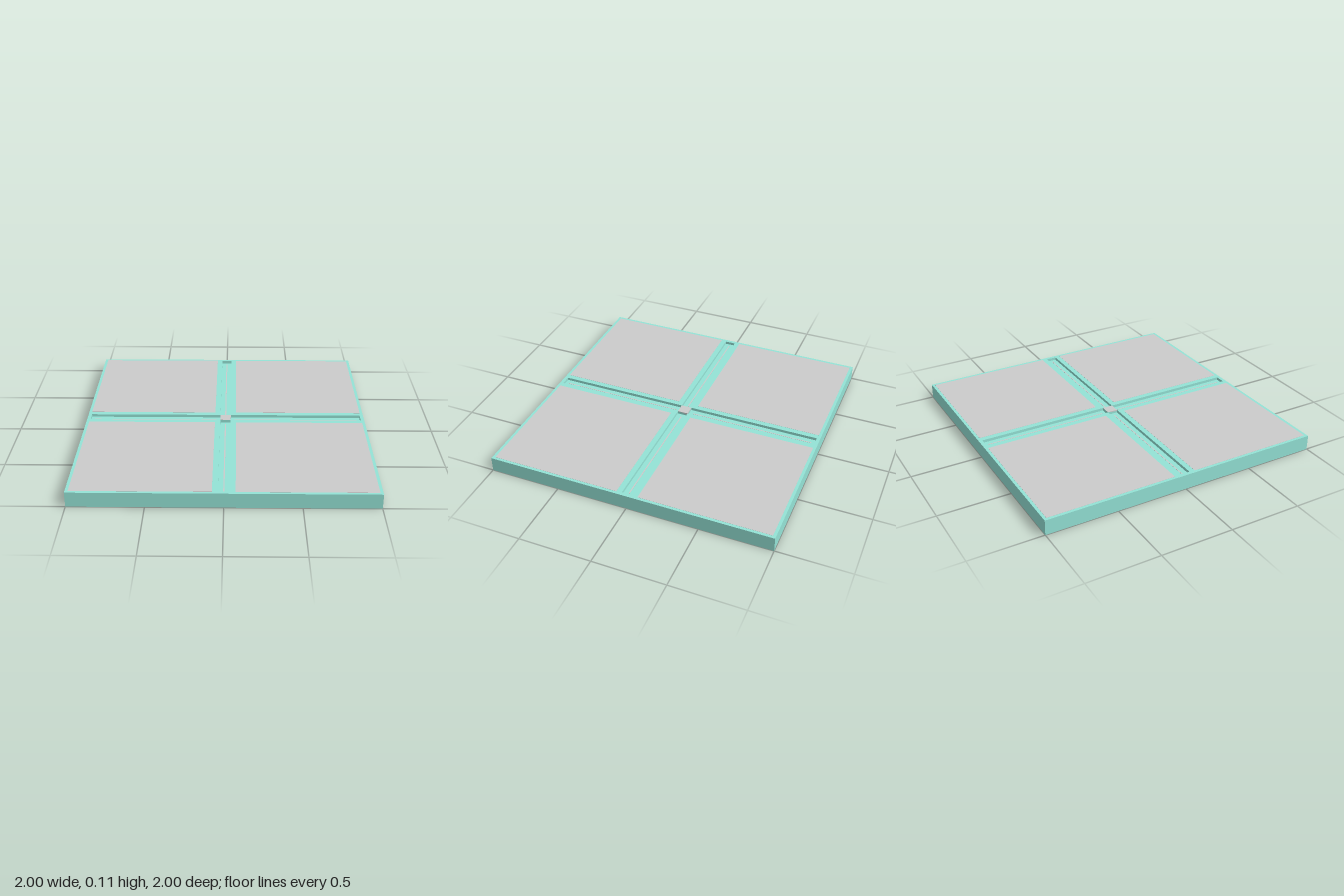
import * as THREE from 'three';

const TOP = 0.105, FLOOR = 0.085, EDGE = 0.975, HALF = 0.0375;
const teal = new THREE.MeshStandardMaterial({ color: 0x94e3d6 });
const grey = new THREE.MeshStandardMaterial({ color: 0xcccccc });

export function createModel() {
  const group = new THREE.Group();

  const add = (name, geometry, material, x = 0, y = 0, z = 0) => {
    const mesh = new THREE.Mesh(geometry, material);
    mesh.name = name;
    mesh.position.set(x, y, z);
    group.add(mesh);
    return mesh;
  };
  // Box given by its centre in plan and its bottom and top heights
  const box = (name, material, x, z, w, d, y0, y1) =>
    add(name, new THREE.BoxGeometry(w, y1 - y0, d), material, x, (y0 + y1) / 2, z);

  // Solid base up to the groove floor
  box('base', teal, 0, 0, 2, 2, 0, FLOOR);

  // Top layer pierced by four grooves that form a cross
  const rect = (Type, x0, x1, y0, y1) => new Type([
    new THREE.Vector2(x0, y0), new THREE.Vector2(x1, y0),
    new THREE.Vector2(x1, y1), new THREE.Vector2(x0, y1),
  ]);
  const layer = rect(THREE.Shape, -1, 1, -1, 1);
  layer.holes.push(
    rect(THREE.Path, HALF, EDGE, -HALF, HALF),
    rect(THREE.Path, -EDGE, -HALF, -HALF, HALF),
    rect(THREE.Path, -HALF, HALF, HALF, EDGE),
    rect(THREE.Path, -HALF, HALF, -EDGE, -HALF),
  );
  const layerGeometry = new THREE.ExtrudeGeometry(layer, { depth: TOP - FLOOR, bevelEnabled: false });
  layerGeometry.rotateX(-Math.PI / 2);
  add('topLayer', layerGeometry, teal, 0, FLOOR, 0);

  // Four grey panels, one in each quarter
  const inner = 0.075, outer = 0.98;
  const mid = (inner + outer) / 2, size = outer - inner;
  for (const sx of [-1, 1]) {
    for (const sz of [-1, 1]) {
      box('panel', grey, sx * mid, sz * mid, size, size, TOP - 0.01, TOP + 0.001);
    }
  }

  // Thin line along each groove floor
  const lineMid = (0.065 + 0.95) / 2, lineLength = 0.95 - 0.065;
  for (const s of [-1, 1]) {
    box('grooveLine', grey, s * lineMid, 0, lineLength, 0.008, FLOOR - 0.005, FLOOR + 0.001);
    box('grooveLine', grey, 0, s * lineMid, 0.008, lineLength, FLOOR - 0.005, FLOOR + 0.001);
  }

  // Square where the grooves meet
  box('centreSquare', grey, 0, 0, 2 * HALF, 2 * HALF, TOP - 0.01, TOP + 0.001);

  return group;
}
